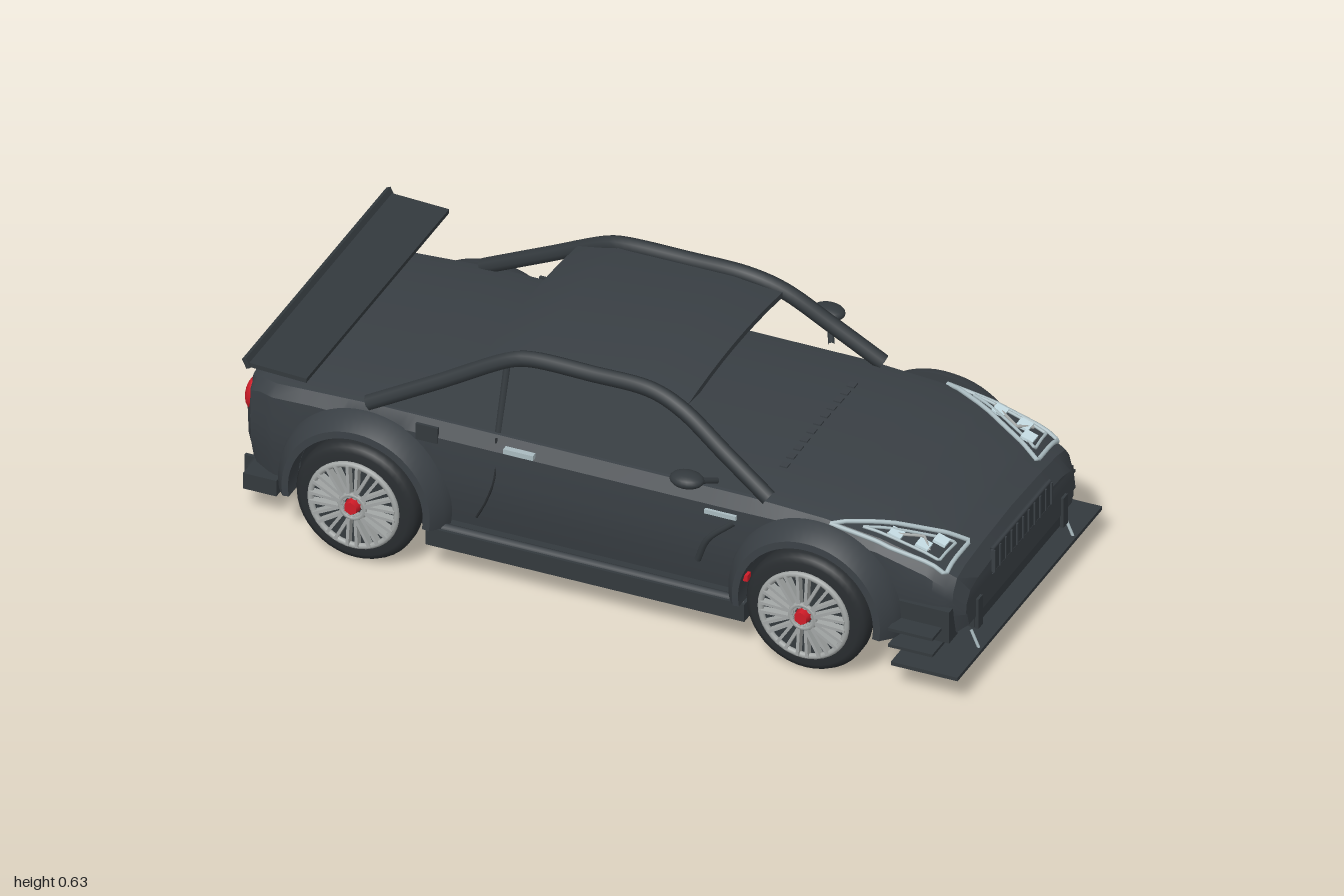
import * as THREE from 'three';
import { toCreasedNormals } from 'three/addons/utils/BufferGeometryUtils.js';

const mat = (name, color, side = THREE.FrontSide) => {
  const m = new THREE.MeshStandardMaterial({ color, side });
  m.name = name;
  return m;
};

// Piecewise linear lookup in a list of [x, value]
function lerpTable(t, x) {
  if (x <= t[0][0]) return t[0][1];
  for (let i = 1; i < t.length; i++) {
    const [a, va] = t[i - 1], [b, vb] = t[i];
    if (x <= b) return va + (vb - va) * (x - a) / (b - a);
  }
  return t[t.length - 1][1];
}

// Skin a list of closed rings (running along +x) and cap both ends
function loft(rings, crease = 0.5) {
  const n = rings[0].length, pos = rings.flat(2), idx = [];
  for (let i = 0; i < rings.length - 1; i++) {
    for (let j = 0; j < n; j++) {
      const a = i * n + j, b = i * n + (j + 1) % n;
      idx.push(a, b, a + n, b, b + n, a + n);
    }
  }
  const last = (rings.length - 1) * n;
  for (let j = 1; j < n / 2; j++) { // caps: strips across the mirrored ring
    const p = j - 1, q = (n - j + 1) % n, r = n - j;
    idx.push(p, q, j, j, q, r);
    idx.push(last + p, last + j, last + q, last + j, last + r, last + q);
  }
  const g = new THREE.BufferGeometry();
  g.setAttribute('position', new THREE.Float32BufferAttribute(pos, 3));
  g.setIndex(idx);
  return toCreasedNormals(g, crease);
}

const AXLES = [-0.625, 0.59], HUB_Y = 0.165, ARCH = 0.182;
const TOP = [[-0.975, 0.36], [-0.96, 0.40], [-0.92, 0.415], [-0.6, 0.43], [0.4, 0.427], [0.6, 0.416], [0.75, 0.395], [0.88, 0.358], [0.95, 0.322], [0.975, 0.28]];
const WIDTH = [[-0.975, 0.30], [-0.95, 0.34], [-0.88, 0.368], [-0.6, 0.375], [0.4, 0.375], [0.7, 0.37], [0.9, 0.362], [0.95, 0.35], [0.975, 0.325]];
const BOTTOM = [[-0.975, 0.2], [-0.94, 0.14], [-0.9, 0.13], [0.93, 0.13], [0.975, 0.16]];

// Half cross-section of the body: [z, y] from the crown down to the floor
function section(x) {
  const w = lerpTable(WIDTH, x), yt = lerpTable(TOP, x);
  let yb = lerpTable(BOTTOM, x);
  for (const c of AXLES) {
    const d = Math.abs(x - c);
    if (d < ARCH) yb = HUB_Y + Math.sqrt(ARCH * ARCH - d * d);
  }
  return [[0, yt], [0.45, yt - 0.005], [0.78, yt - 0.013], [0.92, yt - 0.024], [0.985, Math.min(yt - 0.052, 0.37)],
    [1, Math.min(0.28, yt - 0.08)], [0.98, 0.2], [0.94, 0.13], [0, 0.13]].map(([z, y]) => [z * w, Math.max(y, yb)]);
}
const bodyTop = (x, z) => lerpTable(section(x).slice(0, 6), Math.abs(z));

export function createModel() {
  const car = new THREE.Group();
  car.name = 'car';
  const paint = mat('charcoalPaint', 0x393f44, THREE.DoubleSide);
  const trim = mat('darkTrim', 0x33393d);
  const rubber = mat('tyreRubber', 0x292d30);
  const silver = mat('rimSilver', 0xa3a7a6);
  const chrome = mat('paleChrome', 0xa9babf);
  const lens = mat('lampLens', 0xc6dde4);
  const red = mat('signalRed', 0xd01c28);
  const glass = mat('smokedGlass', 0x393f44);

  const add = (name, geo, m, x = 0, y = 0, z = 0, parent = car) => {
    const mesh = new THREE.Mesh(geo, m);
    mesh.name = name;
    mesh.position.set(x, y, z);
    parent.add(mesh);
    return mesh;
  };
  const box = (name, w, h, d, m, x, y, z) => add(name, new THREE.BoxGeometry(w, h, d), m, x, y, z);
  const tube = (name, pts, r, m, sharp = false, seg = 24) => {
    const v = pts.map(p => new THREE.Vector3(...p));
    let curve = new THREE.CatmullRomCurve3(v, false, 'centripetal');
    if (sharp) {
      curve = new THREE.CurvePath();
      for (let i = 1; i < v.length; i++) curve.add(new THREE.LineCurve3(v[i - 1], v[i]));
    }
    return add(name, new THREE.TubeGeometry(curve, seg, r, 8), m);
  };

  // Body shell with tunnels for the wheels
  const xs = [...TOP, ...WIDTH, ...BOTTOM].map(p => p[0]);
  for (let x = -0.9; x < 0.95; x += 0.1) xs.push(x);
  for (const c of AXLES) {
    for (let i = 0; i <= 20; i++) xs.push(c - ARCH * 1.0001 * Math.cos(Math.PI * i / 20));
  }
  const stations = [...new Set(xs.map(x => +x.toFixed(4)))].sort((a, b) => a - b);
  add('bodyShell', loft(stations.map(x => {
    const h = section(x);
    return [...h.map(([z, y]) => [x, y, z]), ...h.slice(1, -1).reverse().map(([z, y]) => [x, y, -z])];
  })), paint);
  box('floorPan', 1.42, 0.05, 0.66, rubber, -0.02, 0.107, 0);

  // Crowned roof panel
  const roofRings = [[-0.35, 0.59], [-0.23, 0.624], [0.08, 0.624], [0.205, 0.603]].map(([x, y]) => {
    const top = [], under = [];
    for (let i = 0; i <= 8; i++) {
      const z = -0.285 + 0.57 * i / 8, drop = 0.02 * (z / 0.285) ** 2;
      top.push([x, y - drop, z]);
      under.unshift([x, y - drop - 0.015, z]);
    }
    return [...top, ...under];
  });
  add('roof', loft(roofRings), paint);

  // Side glass facing outward
  const win = new THREE.Shape([[0.44, 0.41], [0.15, 0.6], [0.08, 0.61], [-0.23, 0.61], [-0.33, 0.58], [-0.63, 0.41]].map(p => new THREE.Vector2(...p)));
  const winGeo = new THREE.ShapeGeometry(win), wp = winGeo.attributes.position;
  for (let i = 0; i < wp.count; i++) wp.setZ(i, 0.343 - (wp.getY(i) - 0.41) * 0.26);
  winGeo.computeVertexNormals();
  add('sideGlass', winGeo, glass);

  // Lathed wheel parts, axis along z
  const lathe = (pts, seg, start, len) => new THREE.LatheGeometry(pts.map(p => new THREE.Vector2(...p)), seg, start, len).rotateX(Math.PI / 2);
  const tyreGeo = lathe([[0.118, -0.036], [0.145, -0.038], [0.158, -0.03], [0.165, -0.015], [0.165, 0.012],
    [0.158, 0.026], [0.145, 0.032], [0.118, 0.032]], 40);
  const flareGeo = toCreasedNormals(lathe([[ARCH, 0], [0.232, 0], [0.224, 0.03], [0.2, 0.062], [ARCH, 0.064], [ARCH, 0]],
    32, Math.PI / 2 - 0.16, Math.PI + 0.32), 0.4);

  for (const s of [1, -1]) {
    // Wheels and flares
    for (const x of AXLES) {
      const wheel = new THREE.Group();
      wheel.name = x > 0 ? 'frontWheel' : 'rearWheel';
      wheel.position.set(x, HUB_Y, s * 0.405);
      if (s < 0) wheel.rotation.y = Math.PI;
      car.add(wheel);
      add('tyre', tyreGeo, rubber, 0, 0, 0, wheel);
      add('brakeDisc', new THREE.CylinderGeometry(0.119, 0.119, 0.05, 32).rotateX(Math.PI / 2), trim, 0, 0, 0, wheel);
      add('rimLip', new THREE.TorusGeometry(0.116, 0.008, 8, 40), silver, 0, 0, 0.037, wheel);
      add('rimInnerRing', new THREE.TorusGeometry(0.033, 0.007, 6, 24), silver, 0, 0, 0.043, wheel);
      for (let i = 0; i < 12; i++) {
        for (const k of [-1, 1]) {
          const spoke = add('spoke', new THREE.BoxGeometry(0.092, 0.008, 0.02).translate(0.07, k * 0.007, 0), silver, 0, 0, 0.038, wheel);
          spoke.rotation.z = i * Math.PI / 6 + k * 0.05;
        }
      }
      add('hubNut', new THREE.CylinderGeometry(0.018, 0.021, 0.022, 6).rotateX(Math.PI / 2), red, 0, 0, 0.045, wheel);
      add('fenderFlare', flareGeo, paint, x, HUB_Y, s * 0.367).rotation.y = s > 0 ? 0 : Math.PI;
      // Small red marker in the arch gap
      box('archMarker', 0.012, 0.018, 0.02, red, x > 0 ? x - 0.172 : x + 0.172, 0.208, s * 0.4);
    }
    // Pillars and roof rail, centre pillar
    tube('roofRail', [[0.45, 0.41, s * 0.34], [0.32, 0.498, s * 0.32], [0.2, 0.577, s * 0.3], [0.11, 0.606, s * 0.288], [-0.05, 0.609, s * 0.286], [-0.22, 0.607, s * 0.286],
      [-0.27, 0.595, s * 0.291], [-0.45, 0.5, s * 0.318], [-0.63, 0.405, s * 0.342]], 0.021, trim, false, 56);
    tube('centrePillar', [[-0.28, 0.41, s * 0.338], [-0.275, 0.6, s * 0.292]], 0.01, trim);
    // Mirror
    tube('mirrorArm', [[0.31, 0.425, s * 0.34], [0.28, 0.45, s * 0.4]], 0.008, trim);
    add('mirror', new THREE.SphereGeometry(1, 20, 12), trim, 0.265, 0.463, s * 0.42).scale.set(0.045, 0.02, 0.034);
    // Sill with rounded upper edge
    box('sill', 0.86, 0.05, 0.07, trim, -0.015, 0.105, s * 0.375);
    tube('sillEdge', [[-0.445, 0.125, s * 0.39], [0.41, 0.125, s * 0.39]], 0.014, paint);
    // Door details
    box('doorHandle', 0.08, 0.014, 0.016, chrome, -0.21, 0.383, s * 0.37);
    box('fenderBadge', 0.085, 0.012, 0.012, chrome, 0.335, 0.352, s * 0.372);
    box('fuelCap', 0.06, 0.045, 0.008, trim, -0.46, 0.375, s * 0.367);
    tube('doorSeam', [[-0.28, 0.40, s * 0.352], [-0.275, 0.3, s * 0.373], [-0.3, 0.22, s * 0.369], [-0.33, 0.16, s * 0.36]], 0.003, rubber);
    tube('fenderVent', [[0.27, 0.2, s * 0.366], [0.3, 0.27, s * 0.372], [0.37, 0.335, s * 0.369]], 0.009, trim);
    // Headlight frames draped on the bonnet
    const drape = ([x, z]) => [x, bodyTop(x, z) + 0.007, s * z];
    const drapeLine = (name, pts, r, m) => {
      const out = [];
      for (let i = 1; i < pts.length; i++) {
        for (let k = 0; k < 5; k++) out.push(drape([0, 1].map(c => pts[i - 1][c] + (pts[i][c] - pts[i - 1][c]) * k / 5)));
      }
      out.push(drape(pts[pts.length - 1]));
      tube(name, out, r, m, true, 60);
    };
    drapeLine('headlightFrame', [[0.62, 0.35], [0.78, 0.348], [0.925, 0.335], [0.93, 0.2], [0.8, 0.262], [0.62, 0.35]], 0.006, chrome);
    drapeLine('headlightInnerFrame', [[0.7, 0.33], [0.9, 0.318], [0.908, 0.235], [0.8, 0.285], [0.7, 0.33]], 0.004, chrome);
    drapeLine('headlightDivider', [[0.76, 0.322], [0.84, 0.275], [0.87, 0.31]], 0.004, silver);
    for (const [x, z] of [[0.78, 0.308], [0.85, 0.3], [0.88, 0.26]]) {
      const [px, py, pz] = drape([x, z]);
      box('lampElement', 0.034, 0.008, 0.034, lens, px, py, pz).rotation.z = -0.3;
    }
    // Tail light
    const lamp = add('tailLight', new THREE.SphereGeometry(1, 16, 10), red, -0.957, 0.325, s * 0.3);
    lamp.scale.set(0.021, 0.047, 0.03);
    lamp.rotation.z = -0.12;
    // Wing strut, corner winglets, bumper ends and splitter stays
    box('wingStrut', 0.05, 0.075, 0.022, trim, -0.84, 0.445, s * 0.245);
    for (const y of [0.125, 0.172]) box('cornerWinglet', 0.12, 0.008, 0.08, trim, 0.87, y, s * 0.385);
    box('bumperCorner', 0.16, 0.09, 0.05, trim, 0.87, 0.18, s * 0.345);
    box('bumperPost', 0.02, 0.085, 0.026, trim, 0.972, 0.168, s * 0.253);
    tube('splitterStay', [[0.968, 0.13, s * 0.28], [0.99, 0.08, s * 0.28]], 0.004, chrome);
  }

  // Rear wing
  box('wingBlade', 0.16, 0.012, 0.85, trim, -0.84, 0.485, 0).rotation.z = -0.04;
  box('wingLip', 0.012, 0.028, 0.86, trim, -0.92, 0.493, 0).rotation.z = 0.45;

  // Front bumper, splitter and grille
  box('bumperBlock', 0.06, 0.07, 0.54, trim, 0.943, 0.165, 0);
  box('splitter', 0.18, 0.01, 0.86, trim, 0.91, 0.078, 0);
  box('grillePanel', 0.012, 0.066, 0.33, trim, 0.974, 0.268, 0);
  for (const y of [0.235, 0.301]) tube('grilleEdge', [[0.976, y, -0.172], [0.976, y, 0.172]], 0.005, paint);
  for (let i = 0; i <= 10; i++) box('grilleSlat', 0.012, 0.062, 0.006, paint, 0.978, 0.268, -0.17 + i * 0.034);

  // Bonnet vents under the windscreen
  for (let i = 0; i < 11; i++) {
    const z = -0.2 + i * 0.04;
    box('bonnetVent', 0.02, 0.004, 0.022, paint, 0.43, bodyTop(0.43, z) + 0.002, z);
  }

  // Rear diffuser with fins and number-plate recess
  box('diffuser', 0.09, 0.045, 0.7, trim, -0.92, 0.093, 0);
  tube('diffuserBar', [[-0.965, 0.095, -0.31], [-0.965, 0.095, 0.31]], 0.018, trim);
  for (const z of [-0.26, -0.13, 0, 0.13, 0.26]) box('diffuserFin', 0.13, 0.05, 0.01, trim, -0.935, 0.085, z);
  box('platePanel', 0.008, 0.06, 0.2, paint, -0.975, 0.28, 0);
  return car;
}
